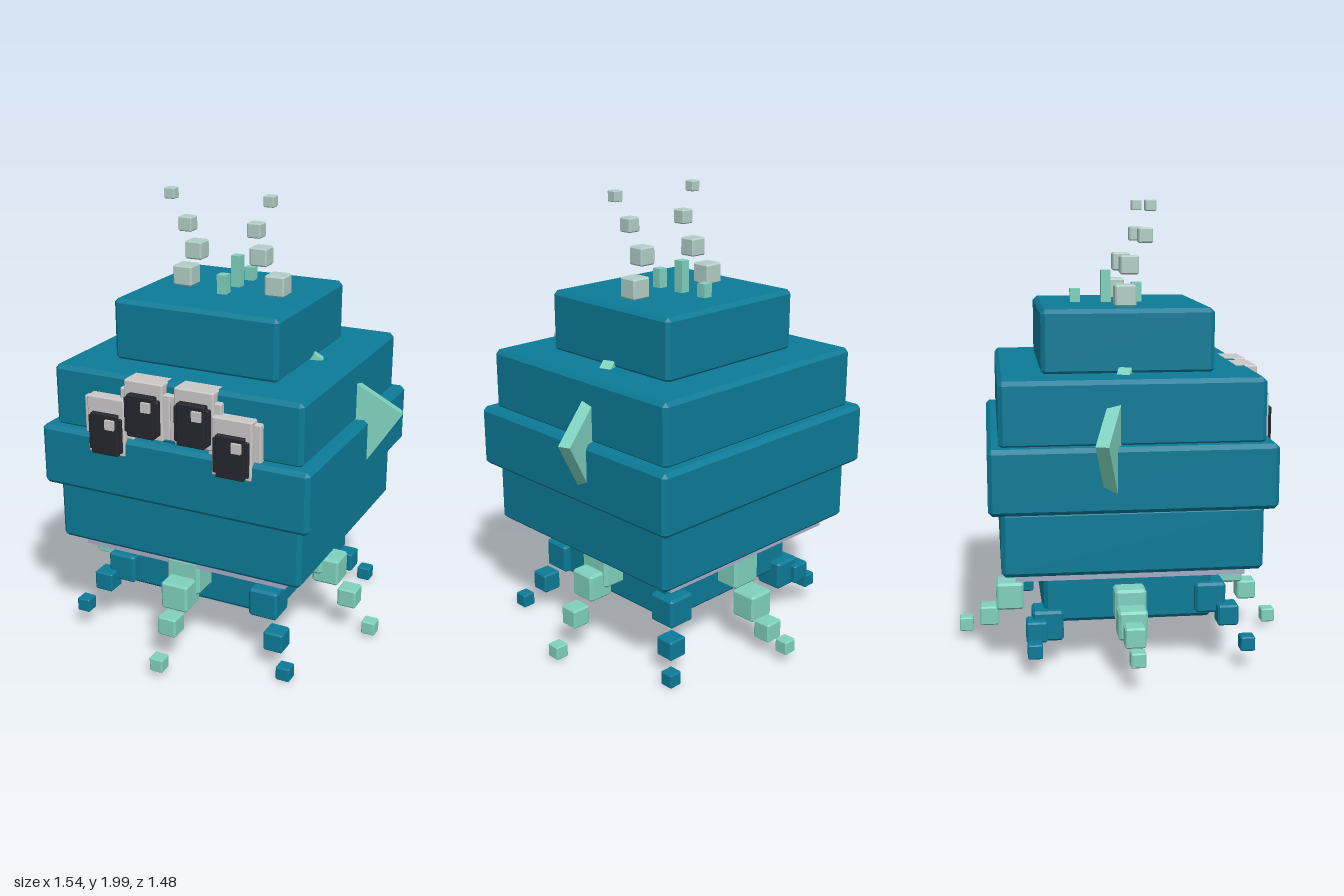
import * as THREE from 'three';
import { ConvexGeometry } from 'three/addons/geometries/ConvexGeometry.js';

const mat = (name, color) => {
  const m = new THREE.MeshStandardMaterial({ color });
  m.name = name;
  return m;
};

// Box with flat chamfered edges
function chamferBox(w, h, d, b) {
  const pts = [];
  for (const sx of [-1, 1]) for (const sy of [-1, 1]) for (const sz of [-1, 1]) {
    const x = w / 2, y = h / 2, z = d / 2;
    pts.push(
      new THREE.Vector3(sx * x, sy * (y - b), sz * (z - b)),
      new THREE.Vector3(sx * (x - b), sy * y, sz * (z - b)),
      new THREE.Vector3(sx * (x - b), sy * (y - b), sz * z));
  }
  return new ConvexGeometry(pts);
}

export function createModel() {
  const model = new THREE.Group();
  model.name = 'blockCreature';
  const teal = mat('teal', 0x0c7b97);
  const mint = mat('mint', 0x7fd1be);
  const paleMint = mat('paleMint', 0xb2cec6);
  const grey = mat('eyeGrey', 0xcac7c7);
  const black = mat('pupilBlack', 0x26262e);
  const lilac = mat('lilacGrey', 0xa6adc4);

  const add = (name, geo, material, x, y, z, parent = model) => {
    const mesh = new THREE.Mesh(geo, material);
    mesh.name = name;
    mesh.position.set(x, y, z);
    parent.add(mesh);
    return mesh;
  };
  // Block given by its min and max corners
  const span = (name, material, [x0, y0, z0], [x1, y1, z1], bevel, parent) =>
    add(name, chamferBox(x1 - x0, y1 - y0, z1 - z0, bevel), material,
      (x0 + x1) / 2, (y0 + y1) / 2, (z0 + z1) / 2, parent);
  const cube = (name, material, x, y, z, s, parent) =>
    add(name, chamferBox(s, s, s, s * 0.08), material, x, y, z, parent);

  // Stacked body: half width, bottom, top, half depth
  [
    ['headBlock', 0.385, 1.28, 1.555, 0.366],
    ['upperBody', 0.578, 1.01, 1.287, 0.55],
    ['middleBody', 0.628, 0.745, 1.02, 0.597],
    ['lowerBody', 0.578, 0.473, 0.75, 0.547],
    ['baseBlock', 0.388, 0.205, 0.45, 0.366],
  ].forEach(([name, x, y0, y1, z]) => span(name, teal, [-x, y0, -z], [x, y1, z], 0.018));
  add('underPlate', new THREE.BoxGeometry(0.976, 0.05, 0.976), lilac, 0, 0.453, 0);

  // Four eyes: stepped frame, stepped pupil, glint always on the same side
  const eyes = [
    { x: 0.293, y: 1.037, inner: false },
    { x: 0.117, y: 1.143, inner: true },
  ];
  for (const s of [-1, 1]) for (const { x, y, inner } of eyes) {
    const eye = new THREE.Group();
    eye.name = inner ? 'innerEye' : 'outerEye';
    eye.position.set(s * x, y, 0);
    model.add(eye);
    const low = inner ? -0.105 : -0.095;
    span('eyeFrame', grey, [-0.09, low, 0.49], [0.09, inner ? 0.145 : 0.16, inner ? 0.59 : 0.602], 0.006, eye);
    span('eyeFrameWide', grey, [-0.118, inner ? -0.1 : -0.03, 0.52], [0.118, inner ? 0.1 : 0.145, 0.576], 0.005, eye);
    span('pupil', black, [-0.064, -0.092, 0.56], [0.064, 0.092, 0.621], 0.004, eye);
    span('pupilWide', black, [-0.08, -0.078, 0.56], [0.08, 0.076, 0.613], 0.004, eye);
    add('glint', new THREE.BoxGeometry(0.042, 0.042, 0.016), grey, 0.033, 0.05, 0.626, eye);
  }

  // Side fins: tilted square plates swept backwards
  const finGeo = new THREE.BoxGeometry(0.47, 0.47, 0.055);
  for (const s of [-1, 1]) {
    const fin = add('sideFin', finGeo, mint, s * 0.452, 0.987, -0.038);
    fin.rotation.set(0, s * 0.35, -s * 0.59);
  }

  // Floating antenna cubes
  for (const s of [-1, 1]) {
    [
      [0.222, 1.6, 0.002, 0.092],
      [0.155, 1.725, 0.028, 0.08],
      [0.162, 1.85, 0.097, 0.063],
      [0.232, 1.977, 0.109, 0.047],
    ].forEach(([x, y, z, size]) => cube('antennaCube', paleMint, s * x, y, z, size));
  }

  // Crest sticks along the centre of the head
  [[0.08, 1.64], [-0.058, 1.695], [-0.195, 1.615]].forEach(([z, top]) =>
    add('crestStick', new THREE.BoxGeometry(0.044, top - 1.5, 0.044), mint, 0, (top + 1.5) / 2, z));

  // Mint legs: direction, then distance, height and size of each cube
  [
    [0, 1, [[0.41, 0.375, 0.16], [0.51, 0.31, 0.128], [0.6, 0.2, 0.088], [0.71, 0.065, 0.063]]],
    [0, -1, [[0.4, 0.36, 0.15], [0.505, 0.215, 0.125], [0.6, 0.12, 0.088], [0.705, 0.08, 0.063]]],
    [1, 0, [[0.41, 0.375, 0.16], [0.5, 0.31, 0.125], [0.6, 0.185, 0.088], [0.705, 0.05, 0.063]]],
    [-1, 0, [[0.41, 0.3, 0.135], [0.505, 0.24, 0.125], [0.6, 0.215, 0.088], [0.705, 0.155, 0.063]]],
  ].forEach(([dx, dz, cubes]) =>
    cubes.forEach(([r, y, size]) => cube('mintLegCube', mint, dx * r, y, dz * r, size)));

  // Teal corner legs: x, y, z of each shrinking cube
  const sizes = [0.133, 0.09, 0.063];
  [
    [[0.353, 0.285, 0.355], [0.425, 0.142, 0.425], [0.5, 0.04, 0.5]],
    [[0.353, 0.268, -0.355], [0.425, 0.133, -0.425], [0.5, 0.04, -0.5]],
    [[-0.355, 0.3, 0.355], [-0.425, 0.235, 0.425], [-0.5, 0.125, 0.5]],
    [[-0.355, 0.2, -0.35], [-0.42, 0.19, -0.4], [-0.49, 0.125, -0.41]],
  ].forEach(leg => leg.forEach(([x, y, z], i) => cube('tealLegCube', teal, x, y, z, sizes[i])));

  return model;
}
